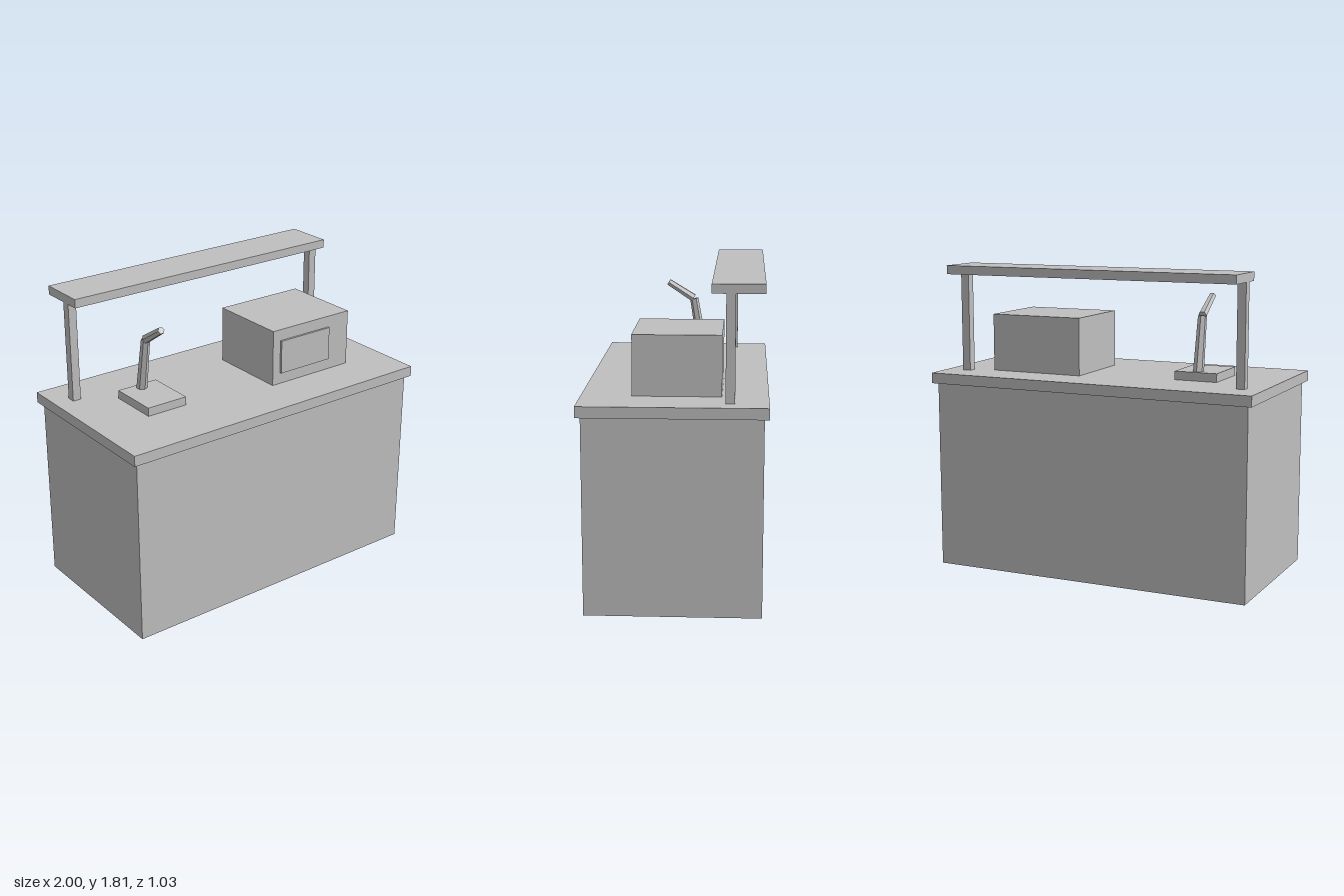
import * as THREE from 'three';

export function createModel() {
  const group = new THREE.Group();
  const grey = new THREE.MeshStandardMaterial({ color: 0xbfbfbf, flatShading: true });
  grey.name = 'plain grey';

  const add = (name, geometry) => {
    const mesh = new THREE.Mesh(geometry, grey);
    mesh.name = name;
    group.add(mesh);
    return mesh;
  };

  // Box given by its extents on each axis
  const box = (name, [x0, x1], [y0, y1], [z0, z1]) =>
    add(name, new THREE.BoxGeometry(x1 - x0, y1 - y0, z1 - z0))
      .position.set((x0 + x1) / 2, (y0 + y1) / 2, (z0 + z1) / 2);

  // Six-sided rod between two points, turned about its own axis
  const rod = (name, from, to, rFrom, rTo, turn) => {
    const a = new THREE.Vector3(...from), b = new THREE.Vector3(...to);
    const dir = b.clone().sub(a);
    const geometry = new THREE.CylinderGeometry(rTo, rFrom, dir.length(), 6);
    geometry.rotateY(turn);
    const mesh = add(name, geometry);
    mesh.position.copy(a).add(b).multiplyScalar(0.5);
    mesh.quaternion.setFromUnitVectors(new THREE.Vector3(0, 1, 0), dir.normalize());
  };

  // Counter
  box('cabinet', [-0.972, 0.972], [0, 1.11], [-0.487, 0.487]);
  box('countertop', [-1, 1], [1.11, 1.172], [-0.513, 0.513]);

  // Raised shelf on two posts
  box('shelf', [-0.895, 0.895], [1.757, 1.808], [-0.487, -0.203]);
  for (const [name, side] of [['leftPost', 1], ['rightPost', -1]]) {
    const xs = [side * 0.845, side * 0.895].sort((p, q) => p - q);
    box(name, xs, [1.172, 1.757], [-0.33, -0.279]);
  }

  // Countertop machine with its front panel
  box('machineBody', [0.15, 0.72], [1.172, 1.51], [-0.258, 0.233]);
  box('machinePanel', [0.203, 0.567], [1.24, 1.442], [0.233, 0.246]);

  // Handheld reader on its stand
  box('standBase', [-0.667, -0.41], [1.172, 1.222], [-0.157, 0.148]);
  rod('standArm', [-0.538, 1.2, -0.113], [-0.538, 1.535, -0.057], 0.032, 0.026, 0);
  rod('standHead', [-0.538, 1.539, -0.053], [-0.538, 1.639, 0.103], 0.026, 0.021, Math.PI / 2);

  return group;
}
